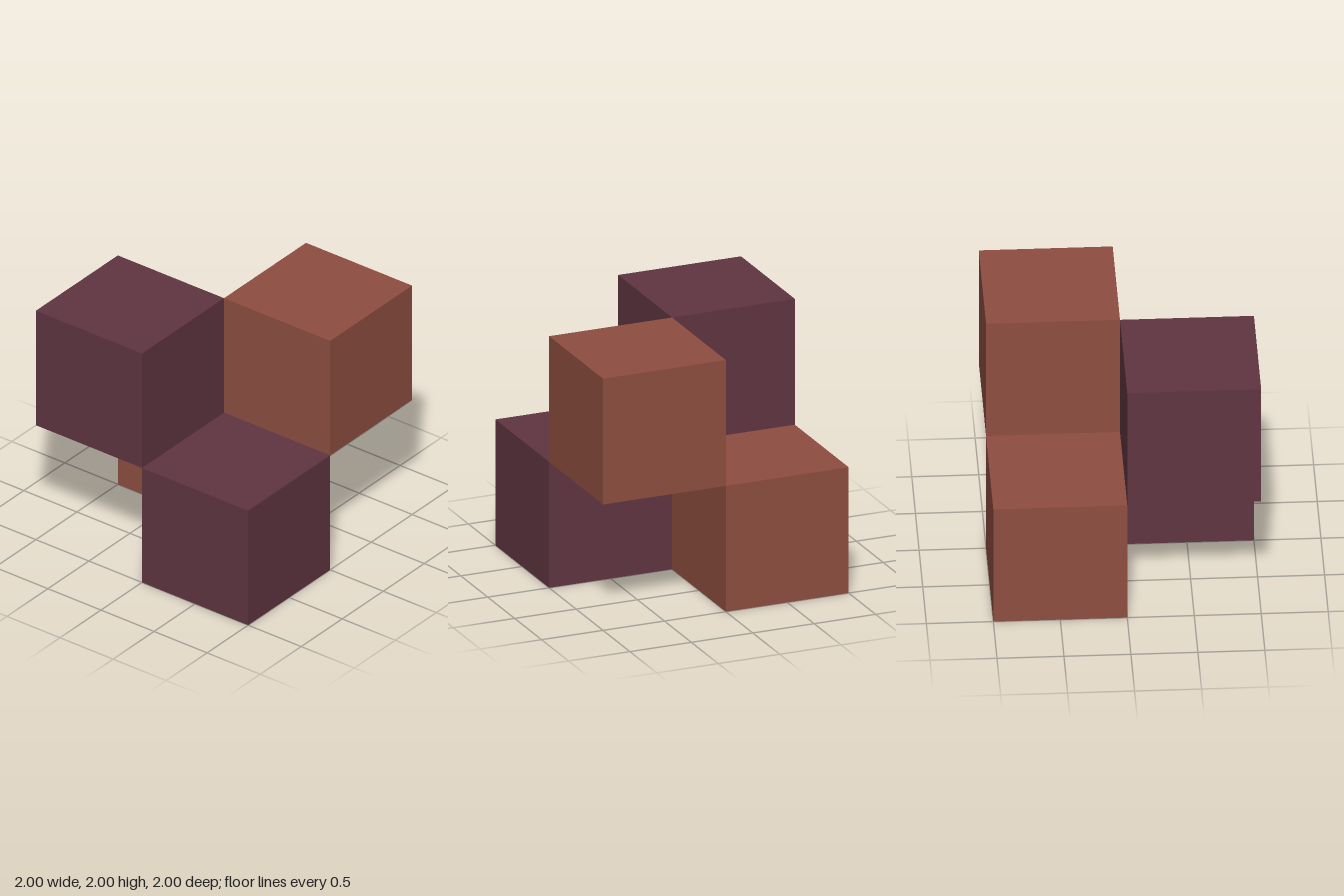
import * as THREE from 'three';

export function createModel() {
  const group = new THREE.Group();
  group.name = 'cubeCluster';

  const plum = new THREE.MeshStandardMaterial({ color: 0x5f3541 });
  plum.name = 'plum';
  const rust = new THREE.MeshStandardMaterial({ color: 0x8e4e40 });
  rust.name = 'rust';

  // Four unit cubes on alternating corners, touching only along edges
  const cube = new THREE.BoxGeometry(1, 1, 1);
  const parts = [
    ['upperFrontCube', plum, -0.5, 1.5, 0.5],
    ['lowerFrontCube', plum, 0.5, 0.5, 0.5],
    ['upperBackCube', rust, 0.5, 1.5, -0.5],
    ['lowerBackCube', rust, -0.5, 0.5, -0.5],
  ];
  for (const [name, material, x, y, z] of parts) {
    const mesh = new THREE.Mesh(cube, material);
    mesh.name = name;
    mesh.position.set(x, y, z);
    group.add(mesh);
  }
  return group;
}
